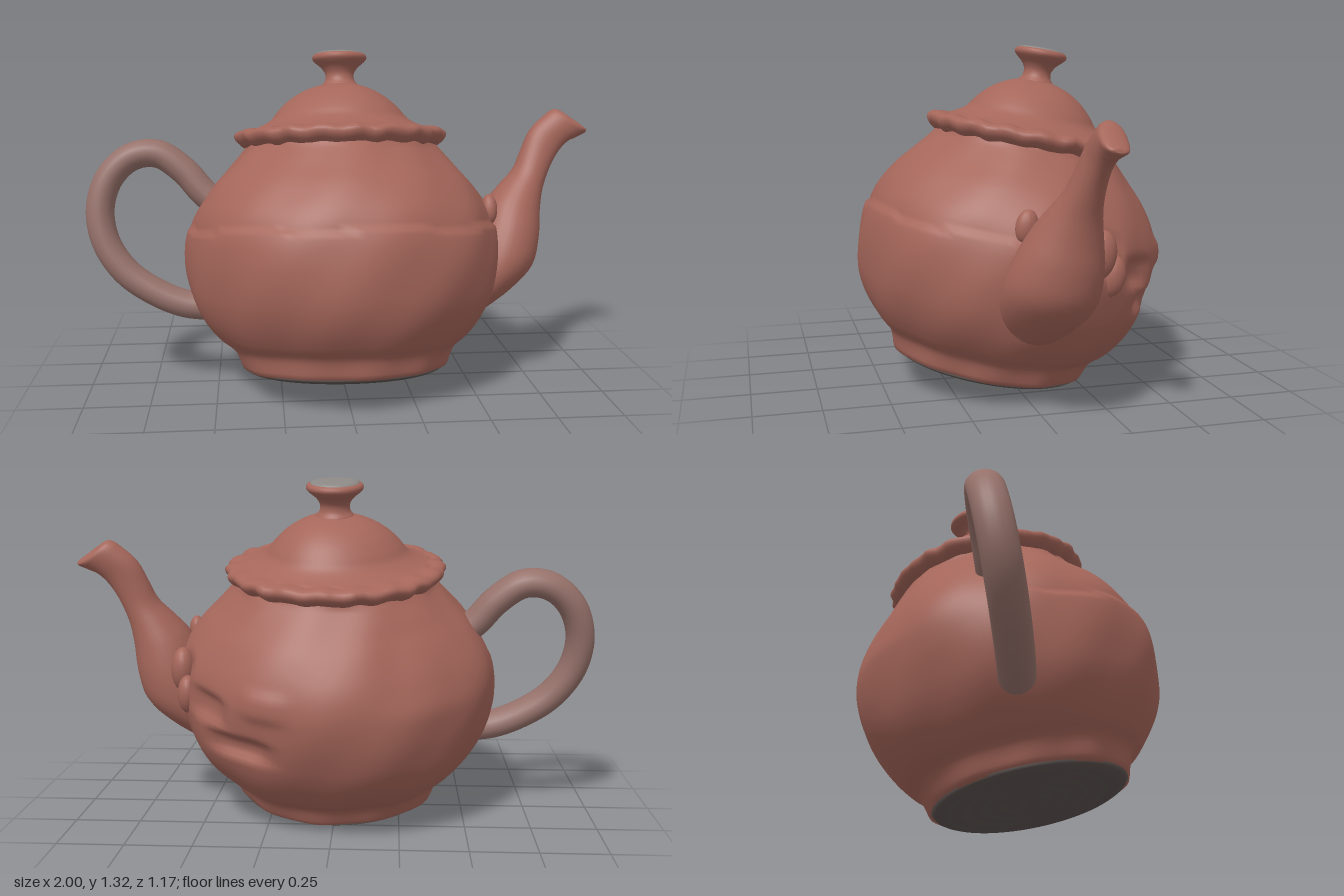
import * as THREE from 'three';
import { mergeVertices } from 'three/addons/utils/BufferGeometryUtils.js';

const TILT = 0.184;
const toLocal = (y) => (y - 0.07) / Math.cos(TILT); // upright height -> height along the tilted axis

const mat = (color) => new THREE.MeshStandardMaterial({ color });
const clay = mat(0xa5665a);
const paleClay = mat(0x96716a);
const grey = mat(0x8b8785);
const dark = mat(0x5c5350);

function addMesh(parent, name, geometry, material) {
  const mesh = new THREE.Mesh(geometry, material);
  mesh.name = name;
  parent.add(mesh);
  return mesh;
}

// Weld seams and recompute smooth normals
function weld(geometry) {
  geometry.deleteAttribute('uv');
  geometry.deleteAttribute('normal');
  const g = mergeVertices(geometry, 1e-4);
  g.computeVertexNormals();
  return g;
}

// Turned shape; rule(r, h, angle) returns the changed [r, h]; angle 0 is the front, +90 degrees the spout
function turned(points, rule = (r, h) => [r, h], samples = 70, segments = 112) {
  const curve = new THREE.CatmullRomCurve3(points.map(([r, h]) => new THREE.Vector3(r, h, 0)), false, 'centripetal');
  const profile = curve.getSpacedPoints(samples).map((p) => new THREE.Vector2(Math.max(0, p.x), p.y));
  const geometry = new THREE.LatheGeometry(profile, segments);
  const pos = geometry.attributes.position;
  for (let i = 0; i < pos.count; i++) {
    const x = pos.getX(i), z = pos.getZ(i);
    const a = Math.atan2(x, z);
    const [r, h] = rule(Math.hypot(x, z), pos.getY(i), a);
    pos.setXYZ(i, r * Math.sin(a) * 1.06, h, r * Math.cos(a));
  }
  return weld(geometry);
}

// Closed tube through rings, each an array of Vector3
function loft(rings) {
  const n = rings[0].length;
  const verts = [], index = [];
  rings.forEach((ring) => ring.forEach((p) => verts.push(p.x, p.y, p.z)));
  for (let i = 0; i < rings.length - 1; i++) {
    for (let j = 0; j < n; j++) {
      const a = i * n + j, b = i * n + ((j + 1) % n);
      index.push(a, b, a + n, b, b + n, a + n);
    }
  }
  for (let j = 1; j < n - 1; j++) {
    const e = (rings.length - 1) * n;
    index.push(0, j + 1, j, e, e + j, e + j + 1);
  }
  const geometry = new THREE.BufferGeometry();
  geometry.setAttribute('position', new THREE.Float32BufferAttribute(verts, 3));
  geometry.setIndex(index);
  geometry.computeVertexNormals();
  return geometry;
}

// Chips in the wall: [angle, height, angular size, height size, depth]
const chips = [
  [2.3, 0.50, 0.16, 0.05, 0.03],
  [2.55, 0.38, 0.22, 0.04, 0.035],
  [1.95, 0.56, 0.10, 0.07, 0.025],
  [2.75, 0.56, 0.14, 0.05, -0.015],
  [-2.5, 0.68, 0.30, 0.12, 0.015],
];

function wornWall(r, h, a) {
  if (r < 0.36) return [r, h];
  let d = 0.004 * Math.sin(5 * a + 9 * h) + 0.003 * Math.sin(11 * a - 14 * h);
  for (const [ca, ch, sa, sh, depth] of chips) {
    const q = ((a - ca) / sa) ** 4 + ((h - ch) / sh) ** 4;
    d -= depth * Math.exp(-q);
  }
  // Ledge of a crack running round the front
  const crack = 0.56 + 0.012 * Math.sin(7 * a);
  const front = THREE.MathUtils.smoothstep(Math.cos(a), -0.1, 0.2);
  if (h > crack) d -= 0.013 * front * Math.exp(-(h - crack) * 9);
  return [r + d, h];
}

export function createModel() {
  const model = new THREE.Group();
  model.name = 'teapot';
  const pot = new THREE.Group();
  pot.name = 'leaningPot';
  pot.position.set(0, 0.07, 0.08);
  pot.rotation.x = -TILT;
  model.add(pot);

  // Belly with the foot
  addMesh(pot, 'body', turned([
    [0, 0.002], [0.2, 0.002], [0.33, 0.002], [0.375, 0.012], [0.39, 0.05], [0.405, 0.085], [0.455, 0.13],
    [0.51, 0.2], [0.55, 0.28], [0.573, 0.37], [0.582, 0.46], [0.577, 0.54], [0.552, 0.62],
    [0.49, 0.72], [0.42, 0.8], [0.36, 0.87], [0.34, 0.9], [0.15, 0.91], [0, 0.91],
  ], wornWall, 110), clay);

  // Rippled underside
  addMesh(pot, 'footUnderside', turned([[0, -0.004], [0.2, -0.004], [0.345, -0.004], [0.372, 0.012], [0.3, 0.014], [0, 0.014]],
    (r, h) => [r, h < 0 ? h + 0.003 * Math.sin(r * 90) : h], 50, 72), dark);

  // Lid with ragged rim and dome
  addMesh(pot, 'lid', turned([
    [0, 0.87], [0.2, 0.87], [0.335, 0.872], [0.368, 0.885], [0.388, 0.905], [0.392, 0.925], [0.375, 0.94],
    [0.33, 0.946], [0.29, 0.962], [0.255, 0.985], [0.228, 1.02], [0.19, 1.06], [0.14, 1.095],
    [0.09, 1.117], [0.04, 1.13], [0, 1.132],
  ], (r, h, a) => {
    if (r > 0.33) return [r + 0.006 * Math.sin(27 * a) * Math.sin(4 * a + 1), h + 0.004 * Math.sin(19 * a)];
    return [r + Math.min(1, r * 8) * 0.006 * Math.sin(3 * a + 6 * h), h];
  }, 90), clay);

  // Flared knob
  addMesh(pot, 'knob', turned([
    [0, 1.11], [0.07, 1.118], [0.056, 1.14], [0.053, 1.165], [0.066, 1.19], [0.09, 1.212],
    [0.102, 1.228], [0.096, 1.243], [0.06, 1.248], [0, 1.25],
  ], undefined, 40, 40), clay);
  addMesh(pot, 'knobTop', turned([[0.09, 1.24], [0.085, 1.25], [0.05, 1.254], [0, 1.256]], undefined, 10, 40), grey);

  // Handle: oval tube, broader across than in its bend
  const handlePath = new THREE.CatmullRomCurve3([
    [-0.44, 0.68], [-0.54, 0.76], [-0.62, 0.85], [-0.72, 0.915], [-0.82, 0.905], [-0.905, 0.83], [-0.945, 0.71],
    [-0.925, 0.58], [-0.85, 0.465], [-0.74, 0.385], [-0.62, 0.335], [-0.48, 0.32],
  ].map(([x, y]) => new THREE.Vector3(x, toLocal(y), 0)));
  const handle = new THREE.TubeGeometry(handlePath, 72, 0.055, 20);
  handle.scale(1, 1, 1.2);
  addMesh(pot, 'handle', handle, paleClay);

  // Spout sections: inner edge x, y, outer edge x, y, half width
  const sections = [
    [0.38, 0.3, 0.54, 0.27, 0.1], [0.42, 0.39, 0.68, 0.37, 0.15], [0.48, 0.5, 0.765, 0.46, 0.17],
    [0.53, 0.61, 0.793, 0.57, 0.155], [0.58, 0.71, 0.8, 0.67, 0.122], [0.64, 0.78, 0.812, 0.75, 0.09],
    [0.695, 0.84, 0.832, 0.81, 0.068], [0.727, 0.91, 0.86, 0.87, 0.056], [0.765, 0.99, 0.895, 0.92, 0.05],
    [0.815, 1.04, 0.93, 0.95, 0.05], [0.87, 1.075, 0.955, 0.96, 0.05], [0.925, 1.045, 0.975, 0.97, 0.047],
    [0.975, 1.01, 0.992, 0.978, 0.035], [0.994, 0.997, 0.998, 0.985, 0.02],
  ];
  const inner = new THREE.CatmullRomCurve3(sections.map(([x, y, , , w]) => new THREE.Vector3(x, toLocal(y), w)));
  const outer = new THREE.CatmullRomCurve3(sections.map(([, , x, y, w]) => new THREE.Vector3(x, toLocal(y), w)));
  const rings = Array.from({ length: 53 }, (_, i) => {
    const p = inner.getPoint(i / 52), q = outer.getPoint(i / 52);
    return Array.from({ length: 28 }, (_, j) => {
      const a = (j / 28) * Math.PI * 2, k = (1 - Math.cos(a)) / 2;
      return new THREE.Vector3(p.x + (q.x - p.x) * k, p.y + (q.y - p.y) * k, Math.sin(a) * p.z);
    });
  });
  addMesh(pot, 'spout', loft(rings), clay);

  // Lumps of clay where the spout joins the wall
  for (const [x, y, z, s] of [[0.575, 0.62, -0.17, 0.06], [0.55, 0.55, -0.24, 0.05], [0.57, 0.68, 0.11, 0.04]]) {
    const lump = addMesh(pot, 'spoutJoint', new THREE.SphereGeometry(s, 16, 12), clay);
    lump.position.set(x, toLocal(y), z);
    lump.scale.set(0.8, 1.5, 1);
  }
  return model;
}
